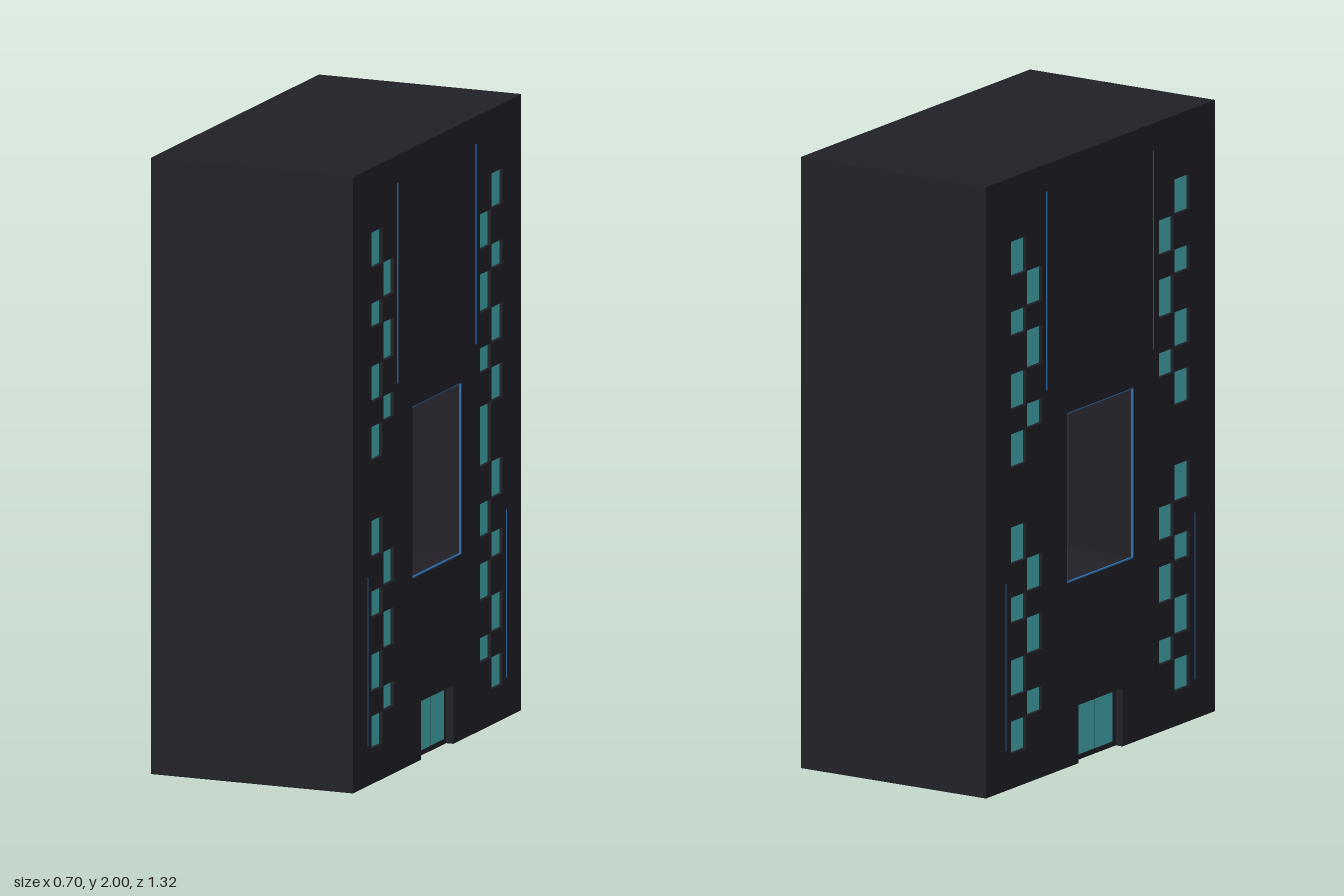
import * as THREE from 'three';

const wall = new THREE.MeshStandardMaterial({ color: 0x212026 });
const glass = new THREE.MeshStandardMaterial({ color: 0x43aeb3 });
const blue = new THREE.MeshStandardMaterial({ color: 0x2f6fb0 });

const HX = 0.35, HZ = 0.66, H = 2, SKIN = 0.025;
const OPEN = { u: 0.193, y0: 0.602, y1: 1.16 };
const DOOR = { u: 0.127, h: 0.19 };

// Window rows as [bottom, top]
const OUTER = [[0.115, 0.22], [0.3, 0.42], [0.54, 0.625], [0.735, 0.855],
  [1.05, 1.16], [1.24, 1.355], [1.48, 1.56], [1.675, 1.79]];
const INNER = [[0.22, 0.3], [0.42, 0.54], [0.625, 0.735],
  [1.16, 1.24], [1.355, 1.48], [1.56, 1.675]];

function rect(path, u0, y0, u1, y1) {
  path.moveTo(u0, y0);
  path.lineTo(u1, y0);
  path.lineTo(u1, y1);
  path.lineTo(u0, y1);
  path.closePath();
  return path;
}

// Extrude a (u, y) outline along +x, where u runs along -z
function slab(shape, x0, x1, name) {
  const geo = new THREE.ExtrudeGeometry(shape, { depth: x1 - x0, bevelEnabled: false });
  geo.translate(0, 0, x0);
  geo.rotateY(Math.PI / 2);
  const mesh = new THREE.Mesh(geo, wall);
  mesh.name = name;
  return mesh;
}

// Box given by its u, y and x ranges
function block(u0, u1, y0, y1, x0, x1, material, name) {
  const mesh = new THREE.Mesh(new THREE.BoxGeometry(x1 - x0, y1 - y0, u1 - u0), material);
  mesh.position.set((x0 + x1) / 2, (y0 + y1) / 2, -(u0 + u1) / 2);
  mesh.name = name;
  return mesh;
}

function facade(name, hasTallWindow) {
  const g = new THREE.Group();
  g.name = name;

  // Window columns on both sides of the opening
  const windows = [];
  for (const s of [-1, 1]) {
    const add = (a, b, rows) => rows.forEach(([y0, y1]) =>
      windows.push([Math.min(s * a, s * b), y0, Math.max(s * a, s * b), y1]));
    add(0.428, 0.515, OUTER);
    add(0.337, 0.422, INNER);
  }
  if (hasTallWindow) windows.push([0.337, 0.855, 0.422, 1.05]);

  // Wall skin with doorway notch, central opening and window holes
  const skin = new THREE.Shape();
  [[-HZ, 0], [-DOOR.u, 0], [-DOOR.u, DOOR.h], [DOOR.u, DOOR.h], [DOOR.u, 0],
    [HZ, 0], [HZ, H], [-HZ, H]].forEach(([u, y], i) => (i ? skin.lineTo(u, y) : skin.moveTo(u, y)));
  skin.closePath();
  skin.holes.push(rect(new THREE.Path(), -OPEN.u, OPEN.y0, OPEN.u, OPEN.y1));
  for (const w of windows) skin.holes.push(rect(new THREE.Path(), ...w));
  g.add(slab(skin, HX - SKIN, HX, 'wallSkin'));

  // Recessed panes
  for (const [u0, y0, u1, y1] of windows)
    g.add(block(u0, u1, y0, y1, HX - SKIN, HX - 0.012, glass, 'windowPane'));

  // Double glass door
  for (const s of [-1, 1])
    g.add(block(s < 0 ? -0.105 : 0.003, s < 0 ? -0.003 : 0.105, 0.018, 0.178,
      HX - SKIN - 0.005, HX - SKIN + 0.002, glass, 'doorPane'));

  // Vertical light strips
  for (const [u, y0, y1] of [[-0.31, 1.26, 1.91], [0.306, 1.26, 1.91],
    [-0.545, 0.13, 0.675], [0.545, 0.13, 0.675]])
    g.add(block(u - 0.003, u + 0.003, y0, y1, HX - 0.005, HX + 0.001, blue, 'lightStrip'));

  // Light trim lining the mouth of the opening
  const t = 0.004, x0 = HX - 0.008, x1 = HX - 0.001;
  for (const s of [-1, 1])
    g.add(block(s * OPEN.u - t, s * OPEN.u + t, OPEN.y0, OPEN.y1, x0, x1, blue, 'openingTrimSide'));
  for (const y of [OPEN.y0, OPEN.y1])
    g.add(block(-OPEN.u, OPEN.u, y - t, y + t, x0, x1, blue, 'openingTrimEdge'));
  return g;
}

export function createModel() {
  const model = new THREE.Group();
  model.name = 'towerBuilding';

  // Solid core pierced by the central opening
  const core = rect(new THREE.Shape(), -HZ, 0, HZ, H);
  core.holes.push(rect(new THREE.Path(), -OPEN.u, OPEN.y0, OPEN.u, OPEN.y1));
  model.add(slab(core, -HX + SKIN, HX - SKIN, 'buildingCore'));

  // Two matching facades; only one has the tall window
  model.add(facade('leftFacade', true));
  const right = facade('rightFacade', false);
  right.rotation.y = Math.PI;
  model.add(right);
  return model;
}
